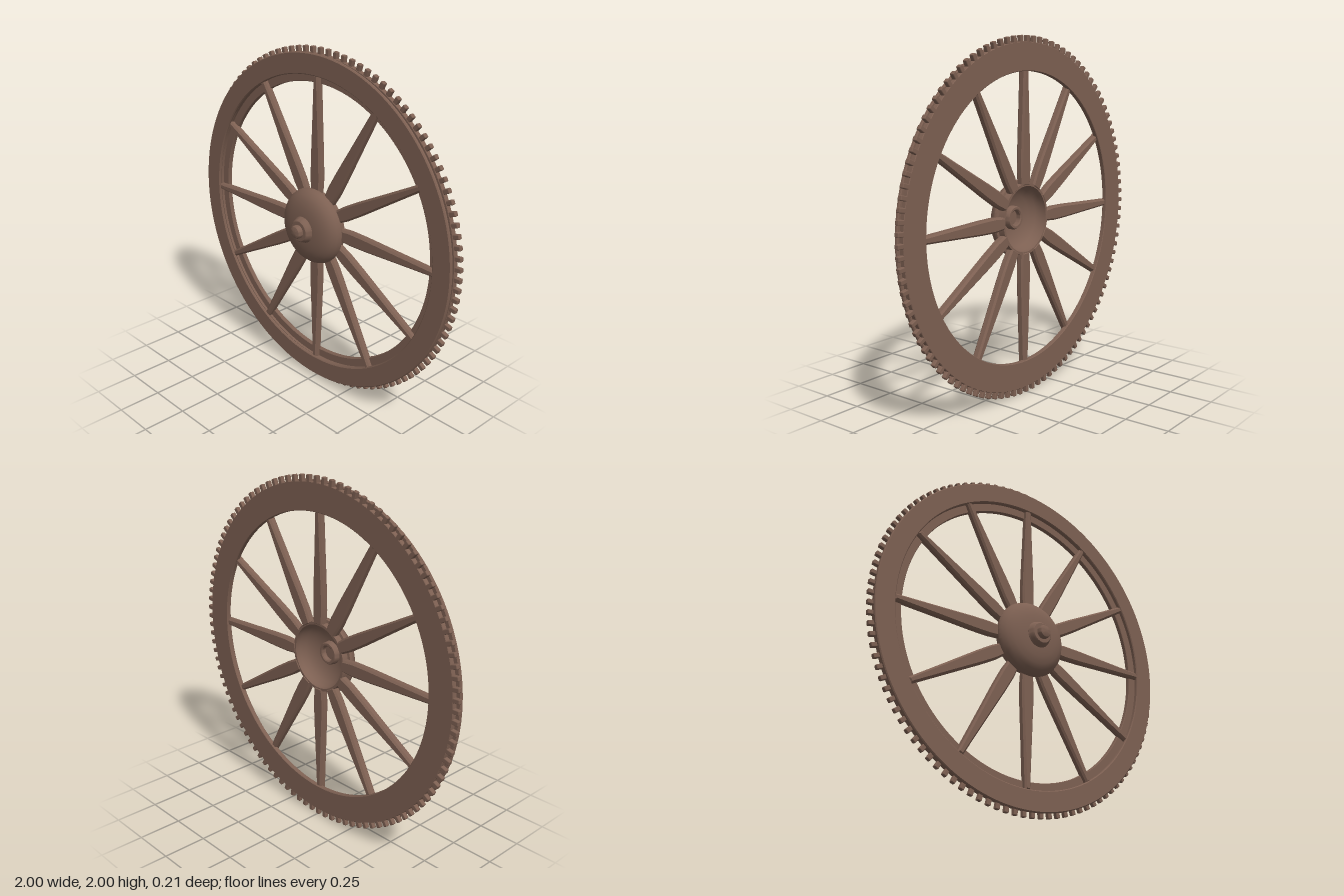
import * as THREE from 'three';
import { toCreasedNormals } from 'three/addons/utils/BufferGeometryUtils.js';
import { RoundedBoxGeometry } from 'three/addons/geometries/RoundedBoxGeometry.js';

const SPOKES = 12;
const TEETH = 108;

export function createModel() {
  const wood = new THREE.MeshStandardMaterial({ color: 0x7d6052 });
  wood.name = 'brown wood';

  const model = new THREE.Group();
  model.name = 'spokedWheel';
  const wheel = new THREE.Group();
  wheel.name = 'wheel';
  wheel.position.y = 1;
  model.add(wheel);

  const add = (name, geometry, parent = wheel) => {
    const mesh = new THREE.Mesh(geometry, wood);
    mesh.name = name;
    parent.add(mesh);
    return mesh;
  };

  // Extrudes a shape between two z planes, with chamfered edges inside its outline
  const slab = (shape, z0, z1, bevel) => {
    const geometry = new THREE.ExtrudeGeometry(shape, {
      depth: z1 - z0 - 2 * bevel, curveSegments: 96, bevelEnabled: bevel > 0,
      bevelThickness: bevel, bevelSize: bevel, bevelOffset: -bevel, bevelSegments: 1,
    });
    geometry.translate(0, 0, z0 + bevel);
    return toCreasedNormals(geometry, 0.5);
  };

  const ring = (inner, outer, z0, z1, bevel) => {
    const shape = new THREE.Shape().absarc(0, 0, outer, 0, Math.PI * 2, false);
    shape.holes.push(new THREE.Path().absarc(0, 0, inner, 0, Math.PI * 2, true));
    return slab(shape, z0, z1, bevel);
  };

  // Rim: wide back ring, narrower core that leaves a groove, and front ring
  add('backRing', ring(0.81, 0.965, -0.104, -0.076, 0.003));
  add('rimCore', ring(0.858, 0.93, -0.078, -0.06, 0));
  const front = add('frontRing', ring(0.855, 0.973, -0.064, -0.044, 0.005));
  front.position.set(-0.006, -0.003, 0);

  // Small pegs around the outer edge
  const teeth = new THREE.Group();
  teeth.name = 'teeth';
  wheel.add(teeth);
  const toothGeometry = new RoundedBoxGeometry(0.08, 0.026, 0.026, 1, 0.005);
  for (let i = 0; i < TEETH; i++) {
    const a = (i / TEETH) * Math.PI * 2;
    const tooth = add('tooth', toothGeometry, teeth);
    tooth.position.set(Math.cos(a) * 0.96, Math.sin(a) * 0.96, -0.091);
    tooth.rotation.z = a;
  }

  // Tapered spokes, widest a little way out from the hub
  const outline = [[0.185, 0.034], [0.27, 0.041], [0.38, 0.039], [0.6, 0.029], [0.862, 0.018]];
  const spokeShape = new THREE.Shape([
    ...outline.map(([r, w]) => new THREE.Vector2(r, -w)),
    ...outline.slice().reverse().map(([r, w]) => new THREE.Vector2(r, w)),
  ]);
  const spokeGeometry = slab(spokeShape, -0.094, -0.048, 0.01);
  const spokes = new THREE.Group();
  spokes.name = 'spokes';
  wheel.add(spokes);
  for (let i = 0; i < SPOKES; i++) {
    add('spoke', spokeGeometry, spokes).rotation.z = (i / SPOKES) * Math.PI * 2;
  }

  // Turned parts: profile points are [radius, z]
  const turned = (points) => {
    const geometry = new THREE.LatheGeometry(points.map(([r, z]) => new THREE.Vector2(r, z)), 48);
    geometry.rotateX(Math.PI / 2);
    return toCreasedNormals(geometry, 0.6);
  };

  // Hub: domed front, hollow bowl at the back
  add('hubDome', turned([
    [0, 0.015], [0.08, 0.012], [0.13, -0.005], [0.165, -0.03], [0.182, -0.06], [0.185, -0.09],
    [0.2, -0.09], [0.203, -0.055], [0.218, -0.052], [0.221, -0.04], [0.213, -0.018],
    [0.195, 0.005], [0.165, 0.023], [0.125, 0.035], [0.08, 0.041], [0, 0.043],
  ]));
  add('hubCap', turned([
    [0.076, 0.03], [0.076, 0.042], [0.07, 0.05], [0.066, 0.066], [0.058, 0.074], [0, 0.076],
  ]));
  add('axleKnob', turned([
    [0.038, 0.07], [0.038, 0.094], [0.033, 0.103], [0.02, 0.108], [0, 0.11],
  ]));

  // Raised socket inside the bowl
  add('axleSocket', turned([
    [0, 0.01], [0.042, 0.01], [0.042, -0.015], [0.048, -0.02], [0.06, -0.02],
    [0.065, -0.013], [0.068, 0.02],
  ]));

  return model;
}
